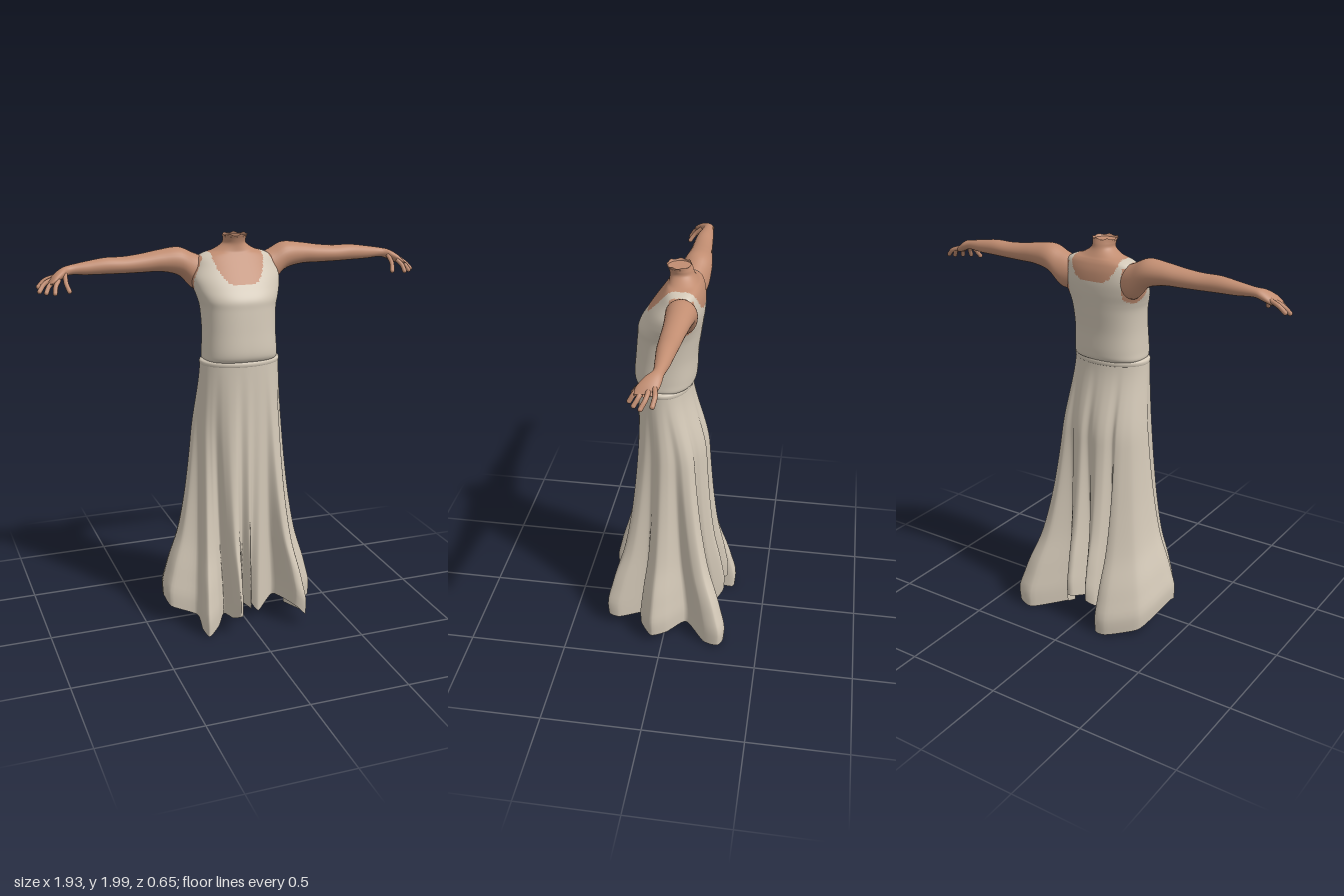
import * as THREE from 'three';

const fabric = new THREE.MeshStandardMaterial({ color: 0xd3c8b7, side: THREE.DoubleSide });
fabric.name = 'cream fabric';
const skin = new THREE.MeshStandardMaterial({ color: 0xc18d71, side: THREE.DoubleSide });
skin.name = 'skin';

const TAU = Math.PI * 2;

// Smoothly reads a row at t (0..1) from a table of rows
function sample(rows, t) {
  const f = t * (rows.length - 1);
  const i = Math.min(Math.floor(f), rows.length - 2), k = f - i;
  const at = n => rows[Math.max(0, Math.min(rows.length - 1, n))];
  return rows[i].map((_, c) => {
    const a = at(i - 1)[c], b = at(i)[c], d = at(i + 1)[c], e = at(i + 2)[c];
    return b + 0.5 * k * (d - a + k * (2 * a - 5 * b + 4 * d - e + k * (3 * (b - d) + e - a)));
  });
}

// Closed-ring surface from point(u around, v along); isSkin picks the colour of each face
function loft(name, nu, nv, point, isSkin) {
  const pos = [], lists = [[], []];
  for (let i = 0; i <= nv; i++)
    for (let j = 0; j < nu; j++) pos.push(...point(j / nu, i / nv));
  for (let i = 0; i < nv; i++) {
    for (let j = 0; j < nu; j++) {
      const a = i * nu + j, b = i * nu + (j + 1) % nu, c = b + nu, d = a + nu;
      const mid = [0, 1, 2].map(k => (pos[a * 3 + k] + pos[b * 3 + k] + pos[c * 3 + k] + pos[d * 3 + k]) / 4);
      lists[isSkin(...mid) ? 1 : 0].push(a, b, c, a, c, d);
    }
  }
  const g = new THREE.BufferGeometry();
  g.setAttribute('position', new THREE.Float32BufferAttribute(pos, 3));
  g.setIndex([...lists[0], ...lists[1]]);
  g.addGroup(0, lists[0].length, 0);
  g.addGroup(lists[0].length, lists[1].length, 1);
  g.computeVertexNormals();
  const mesh = new THREE.Mesh(g, [fabric, skin]);
  mesh.name = name;
  return mesh;
}

// Horizontal body section: half width, front z and back z
function section(u, y, hw, zf, zb, power) {
  const a = u * TAU, s = Math.sin(a), c = Math.cos(a);
  const soft = n => Math.sign(n) * Math.abs(n) ** power;
  return [hw * soft(s), y, (zf + zb) / 2 + (zf - zb) / 2 * soft(c)];
}

// Skirt: a waist ellipse blending down to a deeply folded hem (x, z, y), front centre first
function skirt() {
  const hem = [
    [0, .23, .11], [.02, .14, .11], [.06, .17, .06], [.15, .14, .13], [.22, .29, .12],
    [.27, .31, .07], [.28, .25, .06], [.22, .12, .06], [.29, .13, .05], [.39, .06, .05],
    [.35, -.02, .05], [.24, -.11, .04], [.36, -.22, .02], [.38, -.30, .02], [.29, -.32, .01],
    [.11, -.17, .04], [.10, -.24, .07], [.07, -.29, .14], [.04, -.28, .14], [0, -.15, .10],
    [-.02, -.25, .12], [-.05, -.30, .15], [-.09, -.27, .12], [-.11, -.15, .05], [-.12, -.32, .01],
    [-.19, -.33, .01], [-.33, -.24, .04], [-.37, -.16, .08], [-.40, -.03, .13], [-.38, .05, .10],
    [-.25, .09, .05], [-.26, .21, .03], [-.24, .27, .01], [-.17, .21, .03], [-.12, .14, .06],
    [-.11, .26, .09], [-.09, .32, .12], [-.07, .30, .12], [-.03, .16, .12]
  ];
  const curve = new THREE.CatmullRomCurve3(
    hem.map(([x, z, y]) => new THREE.Vector3(x, y, z)), true, 'catmullrom', 0.3);
  const flare = [[.96], [.85], [.55], [.36], [.23], [.13], [.05], [0]];
  return loft('skirt', 234, 44, (u, v) => {
    const p = curve.getPoint(u);
    const y = p.y + (1.39 - p.y) * v;
    const w = sample(flare, v)[0] + 0.06 * Math.exp(-(((v - .06) / .05) ** 2));
    const hip = THREE.MathUtils.smoothstep(1.4 - y, 0, 0.4);
    const b = section(u, y, .2 + .012 * hip, .168, -.1 - .07 * hip, 1);
    return [b[0] + (p.x - b[0]) * w, y, b[2] + (p.z - b[2]) * w];
  }, () => false);
}

// Waistband: a narrow rounded ring
function waistband() {
  const rows = [[1.375, .194, .16, -.095], [1.382, .201, .169, -.103],
    [1.4, .201, .169, -.103], [1.41, .18, .15, -.09]];
  return loft('waistband', 80, 10, (u, v) => section(u, ...sample(rows, v), 1), () => false);
}

// Torso: sleeveless top with scooped neckline and armholes, running up into the neck
function torso() {
  const rows = [
    [1.395, .175, .145, -.085], [1.41, .187, .17, -.113], [1.45, .185, .181, -.121],
    [1.55, .181, .173, -.125], [1.65, .186, .164, -.138], [1.70, .198, .158, -.145],
    [1.75, .214, .128, -.152], [1.80, .22, .095, -.155], [1.85, .202, .06, -.152],
    [1.885, .187, .035, -.143], [1.905, .155, .022, -.133], [1.92, .105, .015, -.122],
    [1.95, .06, .012, -.104], [1.975, .057, .018, -.096], [1.995, .062, .027, -.088]
  ];
  const inSkin = (x, y, z) => {
    const ax = Math.abs(x);
    const neckBottom = z > -.05 ? 1.77 : 1.805;
    const neckline = ax < .128 && y > neckBottom + (1.91 - neckBottom) * (ax / .135) ** 4;
    const armhole = ax > .15 && ((z + .07) / .075) ** 2 + ((y - 1.81) / .1) ** 2 < 1 && y < 1.88;
    const shoulder = y > 1.8 && ax > .17 + .6 * Math.max(0, 1.89 - y);
    return neckline || armhole || shoulder || y > 1.925;
  };
  return loft('torso', 144, 100, (u, v) => {
    const r = sample(rows, v);
    const p = section(u, ...r, r[0] < 1.9 ? .86 : 1 - .14 * Math.max(0, (1.94 - r[0]) / .04));
    // slightly uneven cut at the top of the neck
    if (v === 1) p[1] += .004 * Math.sin(u * TAU * 7);
    return p;
  }, inSkin);
}

// Arm and hand on one side (s = 1 is the model's left)
function arm(s) {
  const group = new THREE.Group();
  group.name = s > 0 ? 'leftArm' : 'rightArm';
  // x, centre y, centre z, half height, half depth
  const rows = [
    [.13, 1.81, -.065, .07, .06], [.2, 1.822, -.075, .088, .07], [.27, 1.87, -.08, .069, .072],
    [.36, 1.878, -.08, .053, .062], [.45, 1.872, -.076, .045, .054], [.54, 1.868, -.072, .04, .049],
    [.63, 1.869, -.07, .039, .043], [.72, 1.864, -.07, .032, .034], [.8, 1.86, -.066, .023, .025],
    [.84, 1.849, -.05, .025, .039], [.88, 1.828, -.032, .021, .047], [.908, 1.812, -.02, .006, .036]
  ];
  group.add(loft('armAndPalm', 28, 56, (u, v) => {
    const [x, cy, cz, ry, rz] = sample(rows, v), b = u * TAU;
    return [s * x, cy - s * ry * Math.sin(b), cz + rz * Math.cos(b)];
  }, () => true));
  // Each finger: knuckle, joint, tip
  const fingers = [
    [[.87, 1.836, -.062], [.92, 1.818, -.072], [.951, 1.79, -.066]],
    [[.875, 1.832, -.042], [.926, 1.808, -.036], [.954, 1.776, -.018]],
    [[.875, 1.828, -.018], [.91, 1.803, -.003], [.928, 1.774, .014]],
    [[.865, 1.828, .0], [.885, 1.802, .022], [.892, 1.774, .038]],
    [[.83, 1.848, -.03], [.834, 1.812, .008], [.825, 1.778, .033]]
  ];
  fingers.forEach((pts, i) => {
    const path = new THREE.CatmullRomCurve3(pts.map(([x, y, z]) => new THREE.Vector3(s * x, y, z)));
    const finger = new THREE.Mesh(new THREE.TubeGeometry(path, 10, .011, 10), skin);
    finger.name = i < 4 ? 'finger' : 'thumb';
    const tip = new THREE.Mesh(new THREE.SphereGeometry(.011, 10, 8), skin);
    tip.name = 'fingertip';
    tip.position.copy(path.getPoint(1));
    group.add(finger, tip);
  });
  return group;
}

export function createModel() {
  const model = new THREE.Group();
  model.name = 'dressedFigure';
  // Flat end closing the neck
  const neckEnd = new THREE.Mesh(new THREE.CircleGeometry(1, 32), skin);
  neckEnd.name = 'neckEnd';
  neckEnd.rotation.x = -Math.PI / 2;
  neckEnd.scale.set(.06, .056, 1);
  neckEnd.position.set(0, 1.985, -.033);
  model.add(skirt(), waistband(), torso(), neckEnd, arm(1), arm(-1));
  return model;
}
